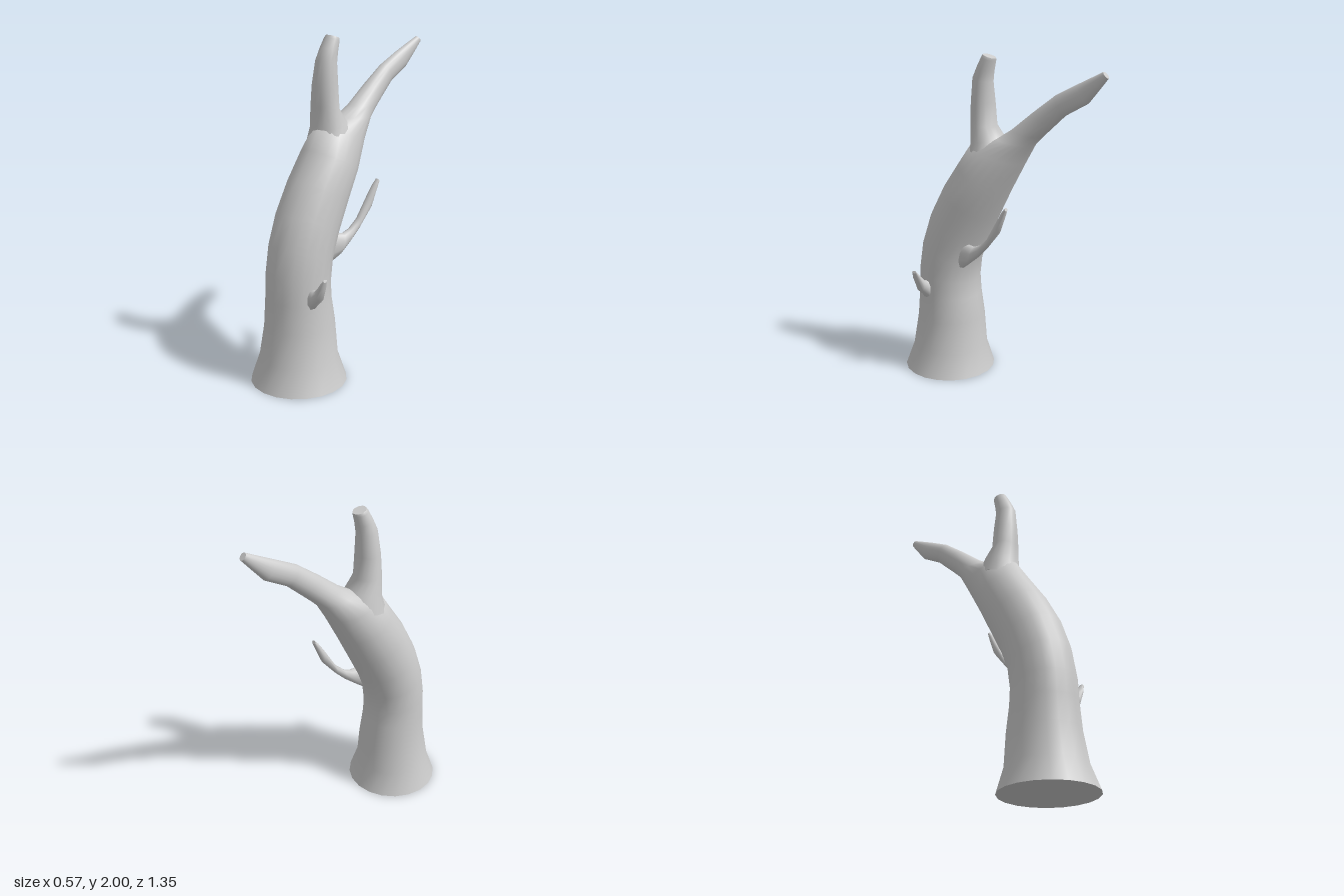
import * as THREE from 'three';

const material = new THREE.MeshStandardMaterial({ color: 0xcccccc, side: THREE.DoubleSide });

// Lofts elliptical rings. Each ring: two opposite points p and q, plus half the width along `axis`.
function loft(name, rings, axis, sides) {
  const pos = [], index = [];
  const centres = [];
  rings.forEach(({ p, q, w }) => {
    const c = p.clone().add(q).multiplyScalar(0.5);
    const u = p.clone().sub(q).multiplyScalar(0.5);
    centres.push(c);
    for (let i = 0; i < sides; i++) {
      const a = (i / sides) * Math.PI * 2;
      const v = c.clone().addScaledVector(u, Math.cos(a)).addScaledVector(axis, w * Math.sin(a));
      pos.push(v.x, v.y, v.z);
    }
  });
  for (let r = 0; r < rings.length - 1; r++) {
    for (let i = 0; i < sides; i++) {
      const j = (i + 1) % sides;
      const a = r * sides + i, b = r * sides + j, c = a + sides, d = b + sides;
      index.push(a, b, d, a, d, c);
    }
  }
  // End caps with their own vertices, so the rims stay sharp
  [0, rings.length - 1].forEach((r, end) => {
    const start = pos.length / 3;
    pos.push(...pos.slice(r * sides * 3, (r + 1) * sides * 3));
    pos.push(...centres[r].toArray());
    for (let i = 0; i < sides; i++) {
      const a = start + i, b = start + ((i + 1) % sides), m = start + sides;
      if (end) index.push(a, b, m);
      else index.push(b, a, m);
    }
  });
  const geometry = new THREE.BufferGeometry();
  geometry.setAttribute('position', new THREE.Float32BufferAttribute(pos, 3));
  geometry.setIndex(index);
  geometry.computeVertexNormals();
  const mesh = new THREE.Mesh(geometry, material);
  mesh.name = name;
  return mesh;
}

// Ring in a plane of constant x: front (y, z), back (y, z), half width, x centre
const ringX = ([yf, zf, yb, zb, w, x]) => ({
  p: new THREE.Vector3(x, yf, zf), q: new THREE.Vector3(x, yb, zb), w,
});
// Ring in a plane of constant z: upper (x, y), lower (x, y), half width, z centre
const ringZ = ([xu, yu, xl, yl, w, z]) => ({
  p: new THREE.Vector3(xu, yu, z), q: new THREE.Vector3(xl, yl, z), w,
});

export function createModel() {
  const group = new THREE.Group();
  group.name = 'deadTree';
  const xAxis = new THREE.Vector3(1, 0, 0);
  const zAxis = new THREE.Vector3(0, 0, 1);

  // Flared trunk leaning backwards and running on into the long rear branch
  group.add(loft('trunkAndRearBranch', [
    [0, 0.68, 0, 0.11, 0.285, 0],
    [0.15, 0.625, 0.15, 0.157, 0.235, -0.003],
    [0.35, 0.592, 0.35, 0.167, 0.208, -0.003],
    [0.52, 0.58, 0.5, 0.19, 0.195, -0.005],
    [0.66, 0.575, 0.6, 0.197, 0.193, -0.005],
    [0.84, 0.545, 0.72, 0.183, 0.193, -0.005],
    [1.02, 0.485, 0.86, 0.13, 0.19, -0.005],
    [1.2, 0.39, 1.02, 0.05, 0.183, -0.005],
    [1.36, 0.28, 1.2, -0.04, 0.175, -0.005],
    [1.47, 0.21, 1.38, -0.14, 0.135, -0.01],
    [1.52, 0.03, 1.5, -0.21, 0.092, -0.008],
    [1.58, -0.065, 1.55, -0.26, 0.073, -0.006],
    [1.69, -0.2, 1.62, -0.335, 0.06, -0.005],
    [1.8, -0.345, 1.69, -0.41, 0.047, -0.002],
    [1.865, -0.47, 1.77, -0.55, 0.038, 0.003],
    [1.925, -0.59, 1.86, -0.625, 0.027, 0.015],
    [1.95, -0.64, 1.915, -0.67, 0.02, 0.022],
  ].map(ringX), xAxis, 20));

  // Short upright prong at the fork, with a cut top
  group.add(loft('uprightBranch', [
    [1.36, 0.25, 1.42, -0.04, 0.14, -0.015],
    [1.465, 0.21, 1.52, 0.015, 0.115, -0.02],
    [1.6, 0.215, 1.58, 0.062, 0.09, -0.02],
    [1.72, 0.212, 1.72, 0.07, 0.08, -0.017],
    [1.86, 0.2, 1.84, 0.075, 0.062, -0.01],
    [1.93, 0.168, 1.9, 0.067, 0.054, -0.008],
    [1.985, 0.138, 1.962, 0.052, 0.046, -0.006],
    [2.0, 0.128, 1.976, 0.05, 0.038, -0.005],
  ].map(ringX), xAxis, 16));

  // Thin twig growing from the back
  group.add(loft('rearTwig', [
    [0.88, 0.24, 0.7, 0.23, 0.035, 0.1],
    [0.865, 0.13, 0.74, 0.175, 0.035, 0.115],
    [0.885, 0.08, 0.81, 0.09, 0.028, 0.125],
    [0.94, 0.02, 0.875, 0.025, 0.025, 0.135],
    [1.07, -0.055, 0.99, -0.07, 0.024, 0.148],
    [1.125, -0.09, 1.08, -0.105, 0.02, 0.155],
    [1.155, -0.115, 1.135, -0.125, 0.015, 0.16],
  ].map(ringX), xAxis, 10));

  // Short stub on the left side
  group.add(loft('sideTwig', [
    [0.14, 0.62, 0.16, 0.46, 0.04, 0.44],
    [0.19, 0.61, 0.19, 0.51, 0.038, 0.443],
    [0.22, 0.635, 0.24, 0.555, 0.033, 0.448],
    [0.255, 0.675, 0.268, 0.63, 0.026, 0.455],
    [0.278, 0.7, 0.284, 0.685, 0.015, 0.458],
  ].map(ringZ), zAxis, 10));

  return group;
}
